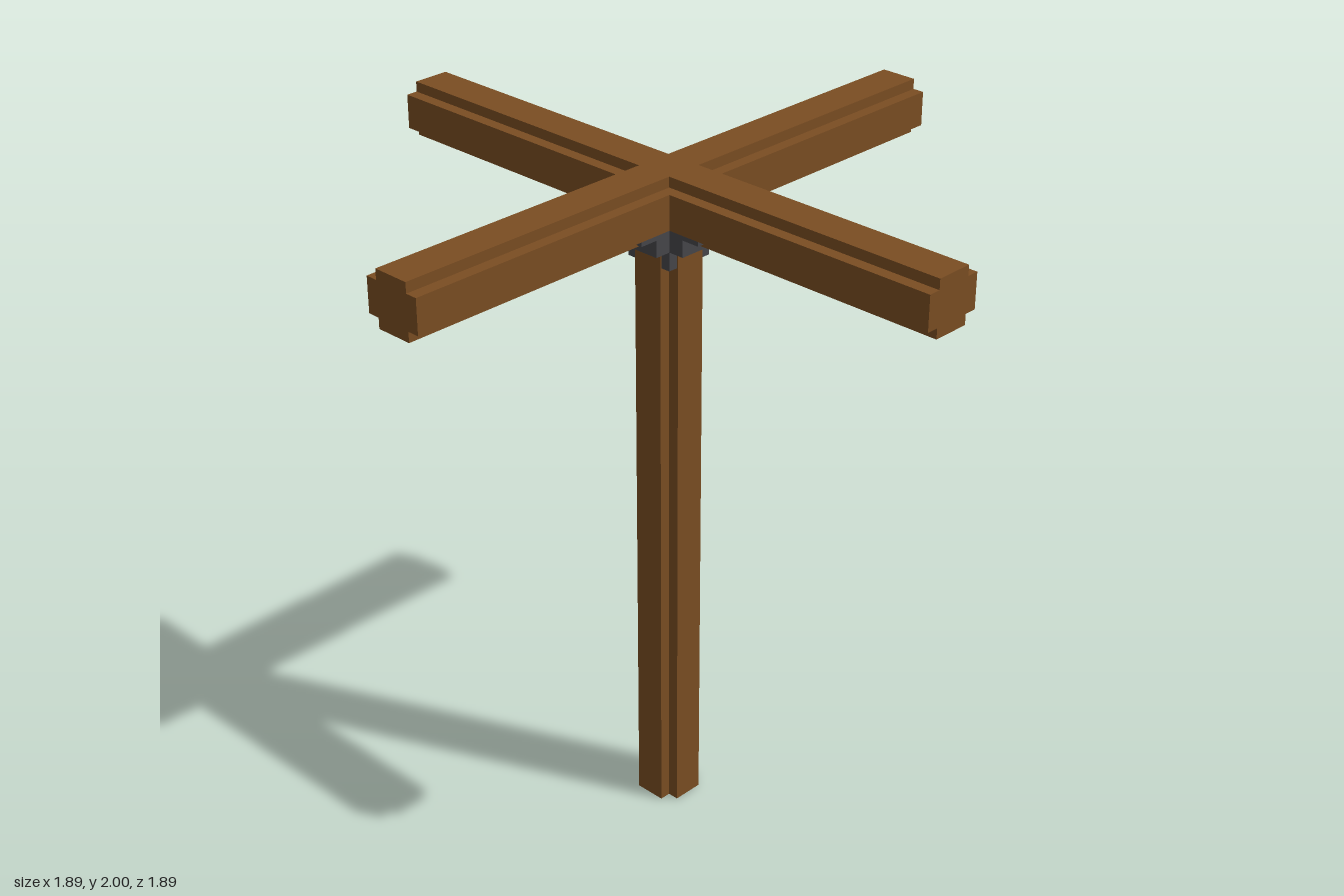
import * as THREE from 'three';

const wood = new THREE.MeshStandardMaterial({ color: 0x7a4d22, flatShading: true });
const iron = new THREE.MeshStandardMaterial({ color: 0x46464a, flatShading: true });

// Timber cross-section: a rectangle with a square rebate cut from each corner
function rebatedSection(w, h, nx, ny) {
  return new THREE.Shape([
    [w, -h + ny], [w, h - ny], [w - nx, h - ny], [w - nx, h],
    [nx - w, h], [nx - w, h - ny], [-w, h - ny], [-w, ny - h],
    [nx - w, ny - h], [nx - w, -h], [w - nx, -h], [w - nx, ny - h],
  ].map(([x, y]) => new THREE.Vector2(x, y)));
}

function timber(name, section, length) {
  const geometry = new THREE.ExtrudeGeometry(section, { depth: length, bevelEnabled: false });
  const mesh = new THREE.Mesh(geometry, wood);
  mesh.name = name;
  return mesh;
}

// Box given by its lower and upper corners
function ironBox(name, a, b) {
  const size = b.map((v, i) => v - a[i]);
  const mesh = new THREE.Mesh(new THREE.BoxGeometry(...size), iron);
  mesh.position.set(...a.map((v, i) => (v + b[i]) / 2));
  mesh.name = name;
  return mesh;
}

export function createModel() {
  const model = new THREE.Group();
  model.name = 'postWithCrossBeams';

  // Upright post
  const post = timber('post', rebatedSection(0.08, 0.08, 0.033, 0.033), 1.84);
  post.rotation.x = -Math.PI / 2;
  model.add(post);

  // One through beam and two butting half beams form the cross
  const section = rebatedSection(0.09, 0.08, 0.035, 0.03);
  const through = timber('throughBeam', section, 1.89);
  through.rotation.y = Math.PI / 2;
  through.position.set(-0.945, 1.92, 0);
  model.add(through);
  for (const turn of [0, Math.PI]) {
    const half = timber('halfBeam', section, 0.89);
    half.rotation.y = turn;
    half.position.set(0, 1.92, 0.055 * Math.cos(turn));
    model.add(half);
  }

  // Iron bracket: four identical quarters around the post head
  const bracket = new THREE.Group();
  bracket.name = 'bracket';
  for (let i = 0; i < 4; i++) {
    const quarter = new THREE.Group();
    quarter.name = 'bracketQuarter';
    quarter.rotation.y = i * Math.PI / 2;

    // Saddle under the beam
    quarter.add(ironBox('saddle', [-0.055, 1.803, 0.075], [0.055, 1.839, 0.13]));
    for (const s of [-1, 1]) {
      const inner = s * 0.055, outer = s * 0.082;
      const x0 = Math.min(inner, outer), x1 = Math.max(inner, outer);
      // Lip and long tongue lying in the beam's lower rebate
      quarter.add(ironBox('saddleLip', [x0, 1.803, 0.055], [x1, 1.87, 0.13]));
      quarter.add(ironBox('tongue', [x0, 1.852, 0.13], [x1, 1.87, 0.185]));
    }
    // Vertical leg in the post's corner rebate
    quarter.add(ironBox('leg', [0.047, 1.745, 0.047], [0.076, 1.87, 0.076]));
    bracket.add(quarter);
  }
  model.add(bracket);
  return model;
}
